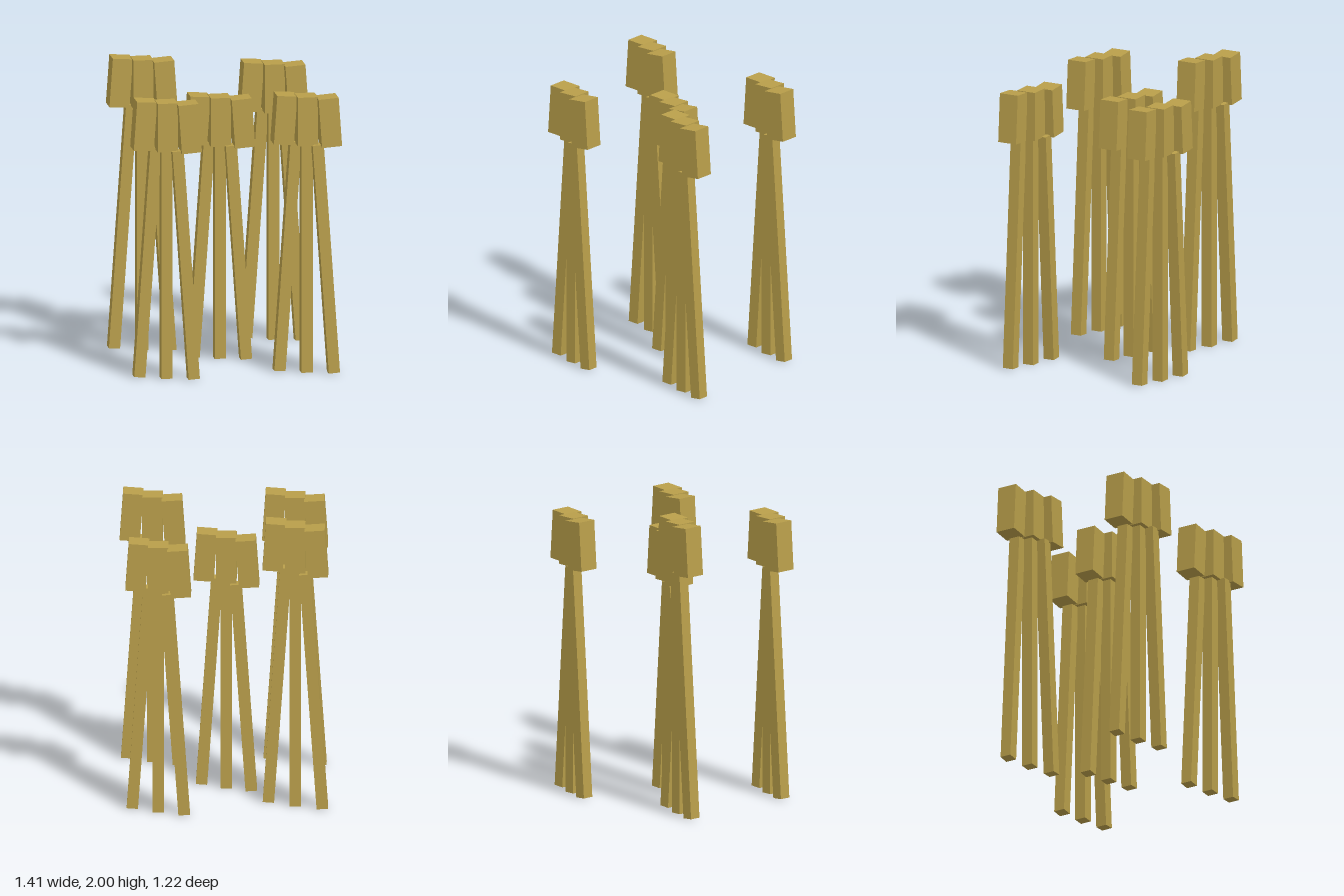
import * as THREE from 'three';

export function createModel() {
  const model = new THREE.Group();
  const straw = new THREE.MeshStandardMaterial({ color: 0xb89e4a });
  straw.name = 'straw';

  const TILT = THREE.MathUtils.degToRad(4);
  const STEM = 0.076, HEAD = 0.136, HEAD_HEIGHT = 0.333;
  const headGeometry = new THREE.BoxGeometry(HEAD, HEAD_HEIGHT, HEAD);

  // one clump: three stalks fanned out at the foot, stepped in depth
  function clump(name, x, z, top) {
    const group = new THREE.Group();
    group.name = name;
    group.position.set(x, 0, z);
    const length = top - 0.328;
    const stemGeometry = new THREE.BoxGeometry(STEM, length, STEM);
    for (const [side, label] of [[-1, 'right'], [0, 'middle'], [1, 'left']]) {
      const stem = new THREE.Mesh(stemGeometry, straw);
      stem.name = label + 'Stem';
      stem.rotation.z = side * TILT;
      const spread = 0.064 + Math.tan(TILT) * length / 2;
      stem.position.set(side * spread, length / 2 + Math.abs(side) * 0.002, side * 0.06);

      const head = new THREE.Mesh(headGeometry, straw);
      head.name = label + 'Head';
      head.rotation.z = side * TILT;
      head.position.set(side * 0.141, top - 0.17, side * 0.06);
      group.add(stem, head);
    }
    model.add(group);
  }

  clump('centreClump', -0.02, -0.018, 1.8);
  clump('frontRightClump', -0.47, 0.478, 1.9);
  clump('backRightClump', -0.486, -0.352, 2.0);
  clump('frontLeftClump', 0.481, 0.471, 1.9);
  clump('backLeftClump', 0.427, -0.483, 1.9);
  return model;
}
